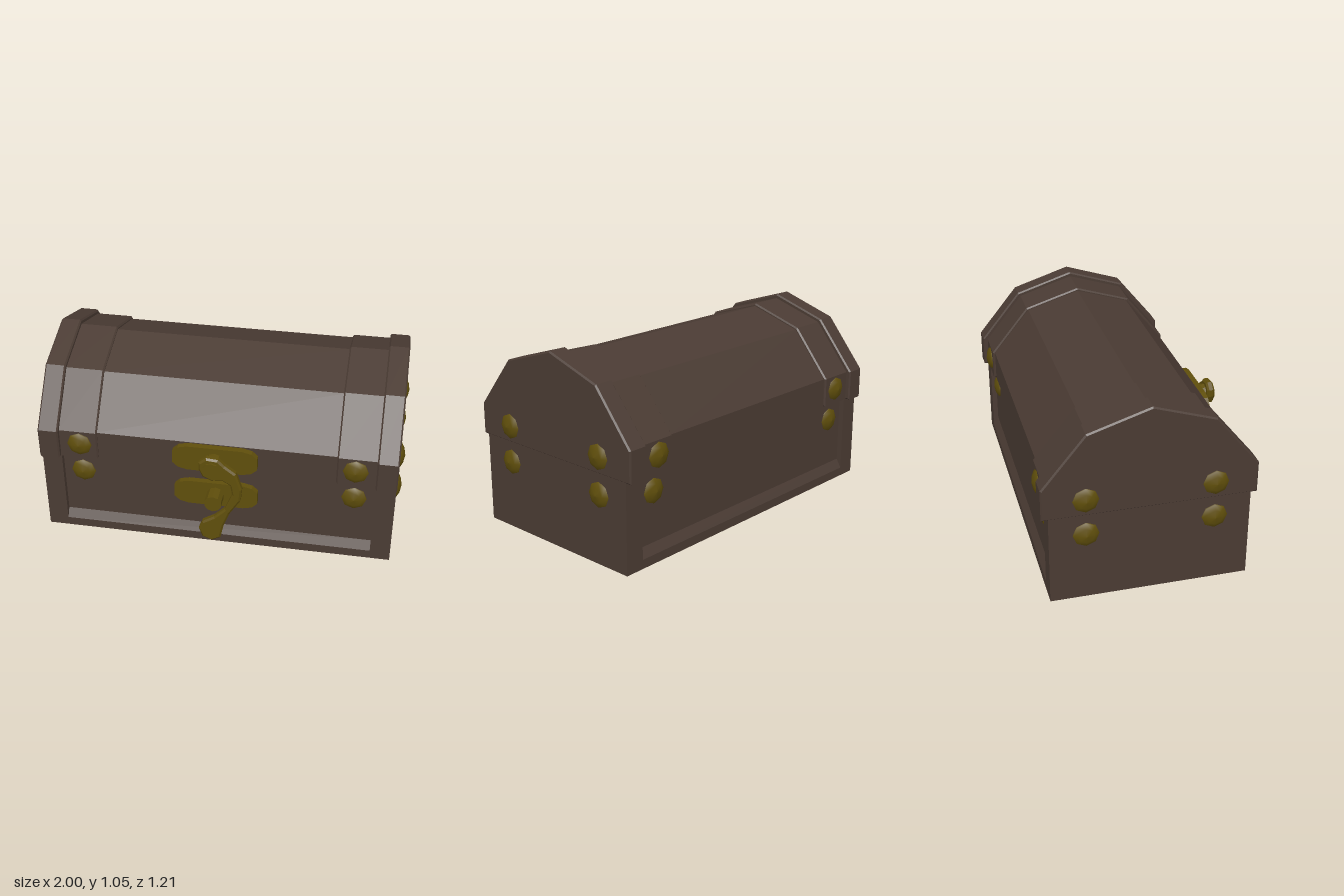
import * as THREE from 'three';

const wood = new THREE.MeshStandardMaterial({ color: 0x4a3b33 });
wood.name = 'dark wood';
const brass = new THREE.MeshStandardMaterial({ color: 0x5f4e0b });
brass.name = 'old brass';

const shapeOf = (pts) => new THREE.Shape(pts.map(([x, y]) => new THREE.Vector2(x, y)));

// Extrude an outline to an exact total depth, with chamfered edges inside the outline
function chamfered(pts, depth, bevel) {
  const geo = new THREE.ExtrudeGeometry(shapeOf(pts), {
    depth: depth - 2 * bevel, bevelEnabled: bevel > 0, bevelThickness: bevel,
    bevelSize: bevel, bevelOffset: -bevel, bevelSegments: 1,
  });
  return geo.translate(0, 0, bevel);
}

// Run a half profile [z, y], mirrored front to back, along x
function alongX(half, x0, x1, bevel = 0) {
  const back = half.map(([z, y]) => [-z, y]).reverse().filter(([z]) => z !== 0);
  return chamfered([...half, ...back], x1 - x0, bevel)
    .rotateY(-Math.PI / 2).translate(x1, 0, 0);
}

function add(parent, name, geo, mat, x = 0, y = 0, z = 0) {
  const mesh = new THREE.Mesh(geo, mat);
  mesh.name = name;
  mesh.position.set(x, y, z);
  parent.add(mesh);
  return mesh;
}

export function createModel() {
  const model = new THREE.Group();
  model.name = 'treasureChest';
  const chest = new THREE.Group();
  chest.name = 'chest';
  chest.position.z = -0.045; // the latch sticks out in front
  model.add(chest);

  // Base: recessed panels with a sloped lower rail, between two end walls
  add(chest, 'basePanels', alongX(
    [[0.525, 0], [0.525, 0.05], [0.495, 0.1], [0.495, 0.5]], -0.86, 0.86), wood);
  // Lid: faceted barrel
  add(chest, 'lid', alongX(
    [[0.52, 0.49], [0.52, 0.655], [0.305, 0.915], [0, 1.01]], -0.66, 0.66), wood);

  for (const s of [-1, 1]) {
    const span = (a, b) => (s > 0 ? [a, b] : [-b, -a]);
    add(chest, 'endWall', alongX([[0.525, 0], [0.525, 0.5]], ...span(0.86, 0.97)), wood);
    add(chest, 'lidBand', alongX(
      [[0.533, 0.49], [0.533, 0.657], [0.315, 0.926], [0, 1.025]], ...span(0.65, 0.87), 0.008), wood);
    add(chest, 'lidEndCap', alongX(
      [[0.56, 0.49], [0.56, 0.662], [0.33, 0.944], [0, 1.05]], ...span(0.86, 0.973), 0.008), wood);
  }

  // Domed rivets on the front, back and ends, on both lid and base
  const dome = new THREE.LatheGeometry(
    [[0.07, -0.004], [0.066, 0.006], [0.04, 0.02], [0, 0.028]].map(([r, h]) => new THREE.Vector2(r, h)), 8);
  const up = new THREE.Vector3(0, 1, 0);
  const rivet = (x, y, z, nx, nz) => {
    add(chest, 'rivet', dome, brass, x, y, z)
      .quaternion.setFromUnitVectors(up, new THREE.Vector3(nx, 0, nz));
  };
  for (const a of [-1, 1]) {
    for (const b of [-1, 1]) {
      rivet(a * 0.75, 0.58, b * 0.533, 0, b);
      rivet(a * 0.75, 0.38, b * 0.495, 0, b);
      rivet(a * 0.972, 0.58, b * 0.335, a, 0);
      rivet(a * 0.97, 0.38, b * 0.335, a, 0);
    }
  }

  // Latch: two plates with pegs and a swinging hook
  const latch = new THREE.Group();
  latch.name = 'latch';
  model.add(latch);
  const plate = chamfered([
    [0.15, -0.075], [0.2, -0.063], [0.23, -0.035], [0.23, 0.035], [0.2, 0.063], [0.15, 0.075],
    [-0.15, 0.075], [-0.2, 0.063], [-0.23, 0.035], [-0.23, -0.035], [-0.2, -0.063], [-0.15, -0.075],
  ], 0.045, 0);
  add(latch, 'upperPlate', plate, brass, 0, 0.575, 0.465);
  add(latch, 'lowerPlate', plate, brass, 0, 0.328, 0.438);

  const peg = (name, y, z0, z1) => {
    const geo = new THREE.CylinderGeometry(0.048, 0.048, z1 - z0, 10).rotateX(Math.PI / 2).toNonIndexed();
    geo.computeVertexNormals();
    add(latch, name, geo, brass, 0, y, (z0 + z1) / 2);
  };
  peg('upperPeg', 0.573, 0.48, 0.606);
  peg('lowerPeg', 0.328, 0.46, 0.57);

  add(latch, 'hook', chamfered([
    [-0.07, 0.57], [-0.05, 0.525], [0, 0.5], [0.055, 0.51], [0.1, 0.48], [0.11, 0.42],
    [0.07, 0.32], [0.01, 0.26], [-0.055, 0.22], [-0.075, 0.17], [-0.055, 0.115], [-0.005, 0.095],
    [0.045, 0.12], [0.062, 0.2], [0.095, 0.29], [0.155, 0.385], [0.162, 0.46], [0.13, 0.56],
    [0.07, 0.605], [0.035, 0.64], [-0.03, 0.645], [-0.07, 0.612],
  ], 0.043, 0.01), brass, 0, 0, 0.555);

  return model;
}
